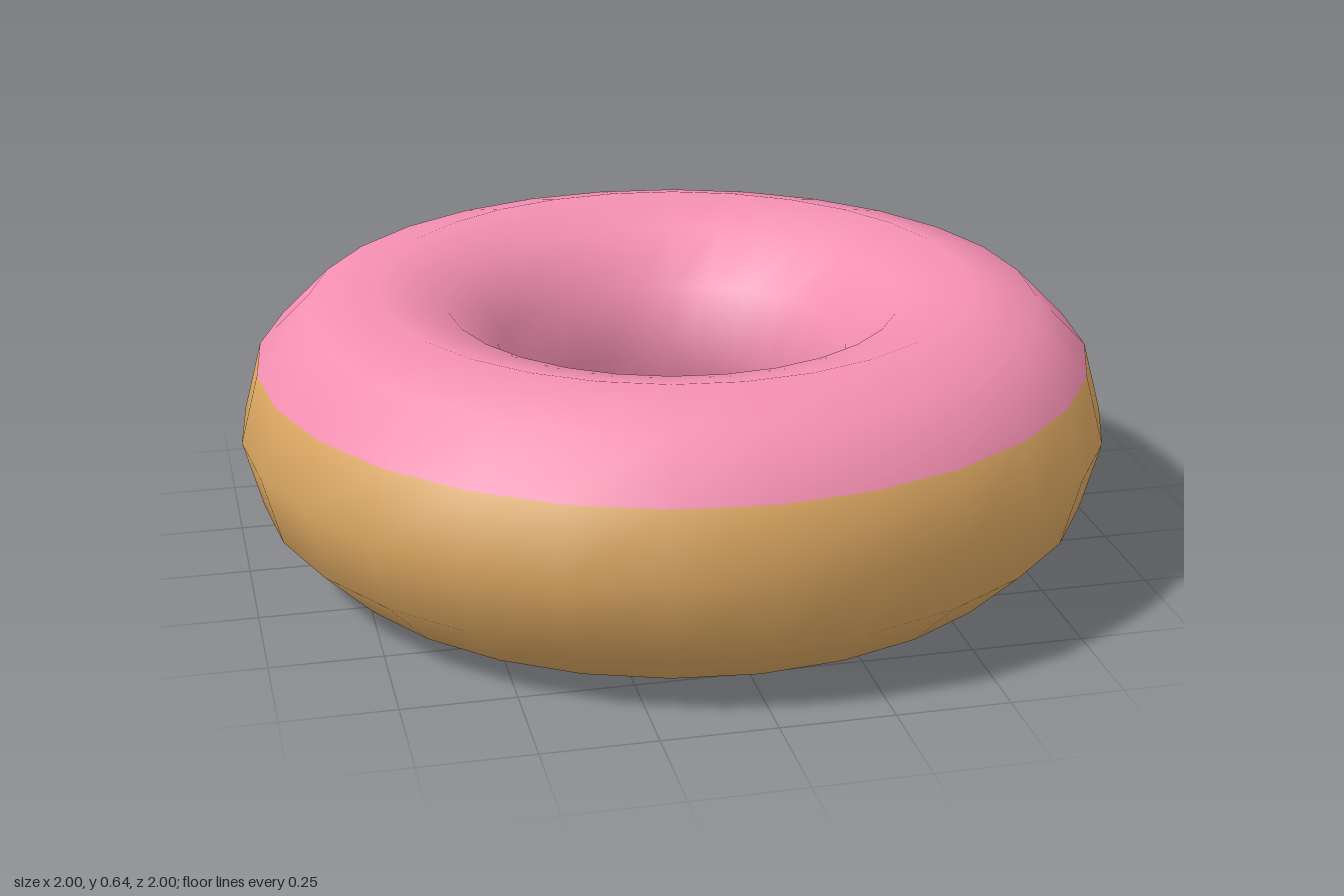
import * as THREE from 'three';

const RING = 0.68, TUBE = 0.32, SIDES = 12, SEGMENTS = 28;

// A band of the ring: the tube strips from..to, counted from the outer equator upwards
function band(name, color, from, to) {
  const geometry = new THREE.TorusGeometry(RING, TUBE, SIDES, SEGMENTS);
  const index = Array.from(geometry.index.array);
  const perStrip = SEGMENTS * 6;
  const kept = [];
  for (let s = from; s < to; s++) {
    const start = (s % SIDES) * perStrip;
    kept.push(...index.slice(start, start + perStrip));
  }
  geometry.setIndex(kept);
  geometry.rotateX(-Math.PI / 2); // lay the ring flat
  geometry.translate(0, TUBE, 0); // stand it on the ground
  const mesh = new THREE.Mesh(geometry, new THREE.MeshStandardMaterial({ color }));
  mesh.name = name;
  return mesh;
}

export function createModel() {
  const group = new THREE.Group();
  group.name = 'donut';
  // Icing covers the top and runs further down inside the hole than outside
  group.add(band('icing', 0xf48fb1, 1, 7));
  // Dough is the remaining half of the tube
  group.add(band('dough', 0xd9a560, 7, 13));
  return group;
}
